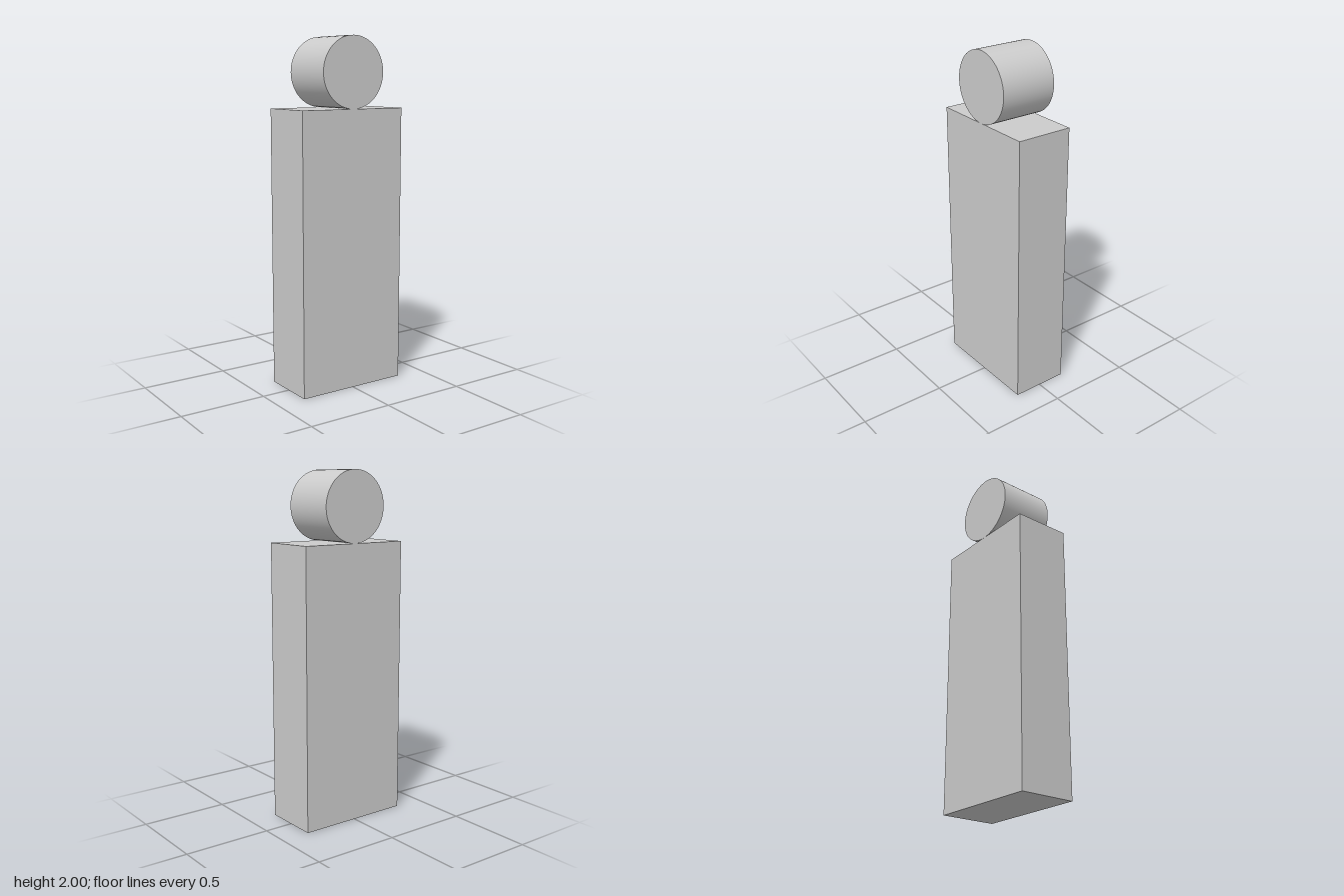
import * as THREE from 'three';

export function createModel() {
  const group = new THREE.Group();
  const material = new THREE.MeshStandardMaterial({ color: 0xcccccc });
  const depth = 1 / 3, bodyHeight = 1.6, radius = 0.2;

  // Upright rectangular block
  const body = new THREE.Mesh(new THREE.BoxGeometry(2 / 3, bodyHeight, depth), material);
  body.name = 'body';
  body.position.y = bodyHeight / 2;

  // Cylinder lying front to back, resting on the block
  const headGeometry = new THREE.CylinderGeometry(radius, radius, depth, 64);
  headGeometry.rotateX(Math.PI / 2);
  const head = new THREE.Mesh(headGeometry, material);
  head.name = 'head';
  head.position.y = bodyHeight + radius;

  group.add(body, head);
  return group;
}
